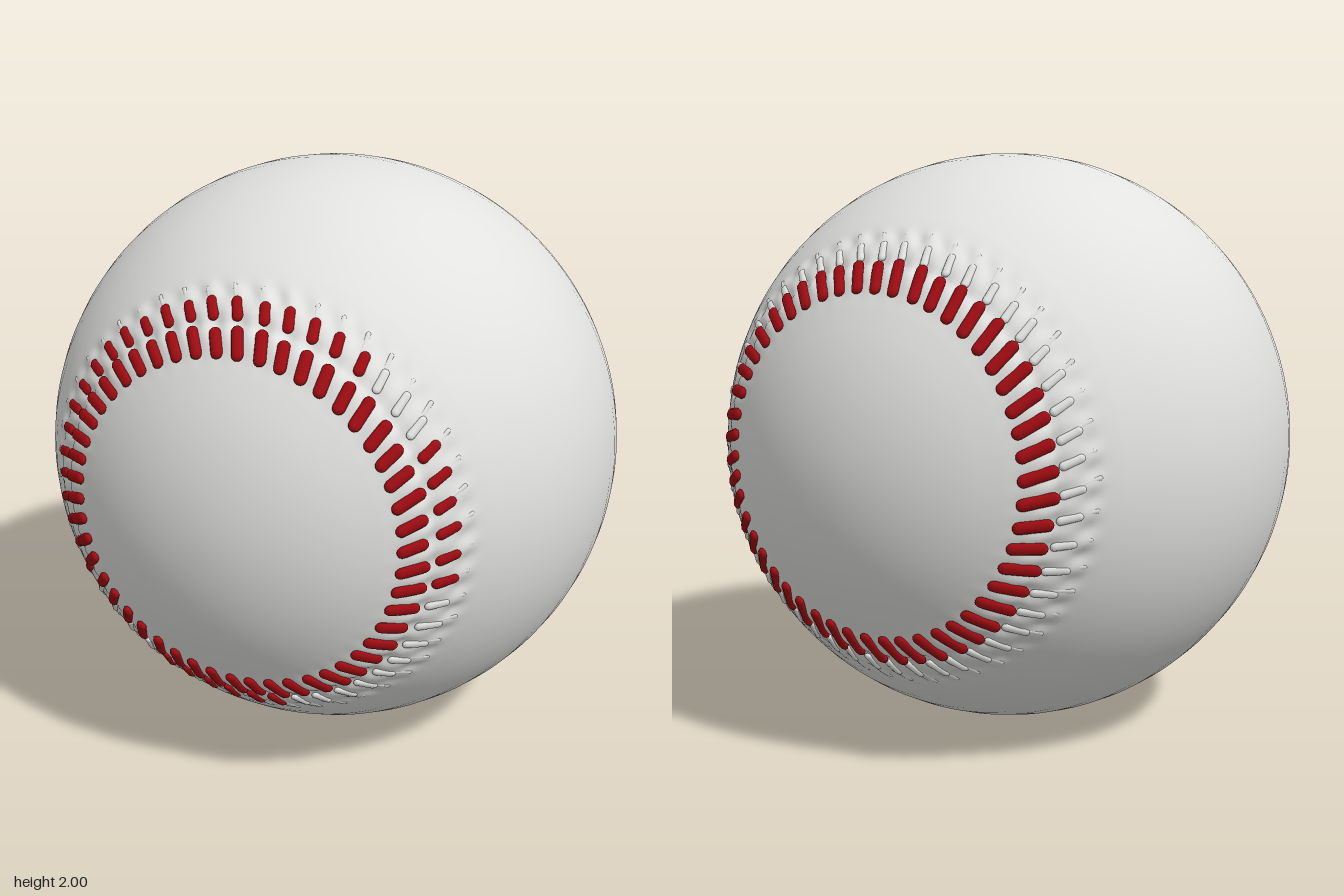
import * as THREE from 'three';
import { mergeGeometries, mergeVertices } from 'three/addons/utils/BufferGeometryUtils.js';

const STITCHES = 50;
const SLANT = 0.5; // turn around the seam per radian away from its centre

const leather = new THREE.MeshStandardMaterial({ color: 0xe2e2e0 });
leather.name = 'white leather';
const thread = new THREE.MeshStandardMaterial({ color: 0xa00c12 });
thread.name = 'red thread';

// small seeded random numbers
function seeded(seed) {
  return () => {
    seed = (seed * 16807) % 2147483647;
    return seed / 2147483647;
  };
}

// point at polar angle theta from +z and angle phi around it
const onBall = (theta, phi, r) => new THREE.Vector3(
  r * Math.sin(theta) * Math.cos(phi), r * Math.sin(theta) * Math.sin(phi), r * Math.cos(theta));

const bump = (t, centre, width) => Math.exp(-(((t - centre) / width) ** 2));

// radius of the leather: raised lips, a groove between and puckers outside
function leatherRadius(theta, phi) {
  const wave = Math.cos(STITCHES * (phi - SLANT * (theta - 0.57)));
  const uneven = 0.7 + 0.3 * Math.sin(phi * 7 + 1) * Math.cos(phi * 11);
  return 1 + 0.009 * bump(theta, 0.63, 0.045) + 0.005 * bump(theta, 0.74, 0.04)
    - 0.008 * bump(theta, 0.682, 0.012)
    - 0.004 * wave * bump(theta, 0.67, 0.07)
    + 0.007 * wave * uneven * bump(theta, 0.79, 0.03);
}

function ballGeometry() {
  // rings lie closer together near the seam
  const thetas = [];
  for (let i = 0; i < 8; i++) thetas.push(i * 0.065);
  for (let i = 0; i < 22; i++) thetas.push(0.52 + i * 0.017);
  for (let i = 0; i < 8; i++) thetas.push(0.9 + i * (Math.PI / 2 - 0.9) / 8);
  const all = [...thetas.map((t) => Math.PI - t), Math.PI / 2, ...thetas.reverse()];
  const profile = all.map((t) => new THREE.Vector2(Math.sin(t), Math.cos(t)));
  let geo = new THREE.LatheGeometry(profile, 400).rotateX(Math.PI / 2);
  const pos = geo.attributes.position;
  const v = new THREE.Vector3();
  for (let i = 0; i < pos.count; i++) {
    v.fromBufferAttribute(pos, i);
    const side = v.z < 0 ? -1 : 1;
    const theta = Math.acos(Math.min(1, Math.abs(v.z)));
    v.multiplyScalar(leatherRadius(theta, Math.atan2(v.y, v.x * side)));
    pos.setXYZ(i, v.x, v.y, v.z);
  }
  geo.deleteAttribute('uv');
  geo.deleteAttribute('normal');
  geo = mergeVertices(geo, 1e-5);
  geo.computeVertexNormals();
  return geo;
}

// one flattened stitch lying on the ball from theta t0 to t1
function stitch(t0, t1, phi, width, height) {
  const a = onBall(t0, phi, height);
  const b = onBall(t1, phi + SLANT * (t1 - t0), height);
  const centre = a.clone().add(b).multiplyScalar(0.5);
  const along = b.clone().sub(a);
  const length = along.length();
  along.normalize();
  const out = centre.clone().normalize();
  const across = new THREE.Vector3().crossVectors(along, out).normalize();
  out.crossVectors(across, along);
  const geo = new THREE.CapsuleGeometry(width / 2, Math.max(0.01, length - width), 4, 8);
  geo.scale(1, 1, 0.65);
  return geo.applyMatrix4(new THREE.Matrix4().makeBasis(across, along, out).setPosition(centre));
}

// parts of the front outer row whose thread is red, in degrees
const redArcs = [[0, 27], [45, 203], [232, 278], [344, 360]];

function seam(name, isFront, random) {
  const red = [], white = [];
  for (let i = 0; i < STITCHES; i++) {
    const phi = (i / STITCHES) * Math.PI * 2;
    const deg = (i / STITCHES) * 360;
    const jitter = () => (random() - 0.5) * 0.015;
    // inner row
    red.push(stitch(0.565, (isFront ? 0.67 : 0.69) + jitter(), phi + jitter(), 0.04, 1.01));
    // outer row
    const isRed = isFront && redArcs.some(([from, to]) => deg >= from && deg <= to);
    const outer = stitch(0.69, 0.77 + jitter(), phi + 0.06 + jitter(), isRed ? 0.036 : 0.028, 1.003);
    (isRed ? red : white).push(outer);
    // thin leather fold trailing away from the stitch
    white.push(stitch(0.75, 0.815 + jitter(), phi + 0.1 + jitter(), 0.016, 1.001));
  }
  const group = new THREE.Group();
  group.name = name;
  const redMesh = new THREE.Mesh(mergeGeometries(red), thread);
  redMesh.name = 'redStitches';
  const whiteMesh = new THREE.Mesh(mergeGeometries(white), leather);
  whiteMesh.name = 'leatherFolds';
  group.add(redMesh, whiteMesh);
  return group;
}

export function createModel() {
  const model = new THREE.Group();
  model.name = 'stitchedBall';
  const body = new THREE.Group();
  body.name = 'ball';
  body.position.y = 1;

  const cover = new THREE.Mesh(ballGeometry(), leather);
  cover.name = 'leatherCover';

  const random = seeded(71);
  const front = seam('frontSeam', true, random);
  const back = seam('backSeam', false, random);
  back.rotation.y = Math.PI;

  body.add(cover, front, back);
  model.add(body);
  return model;
}
